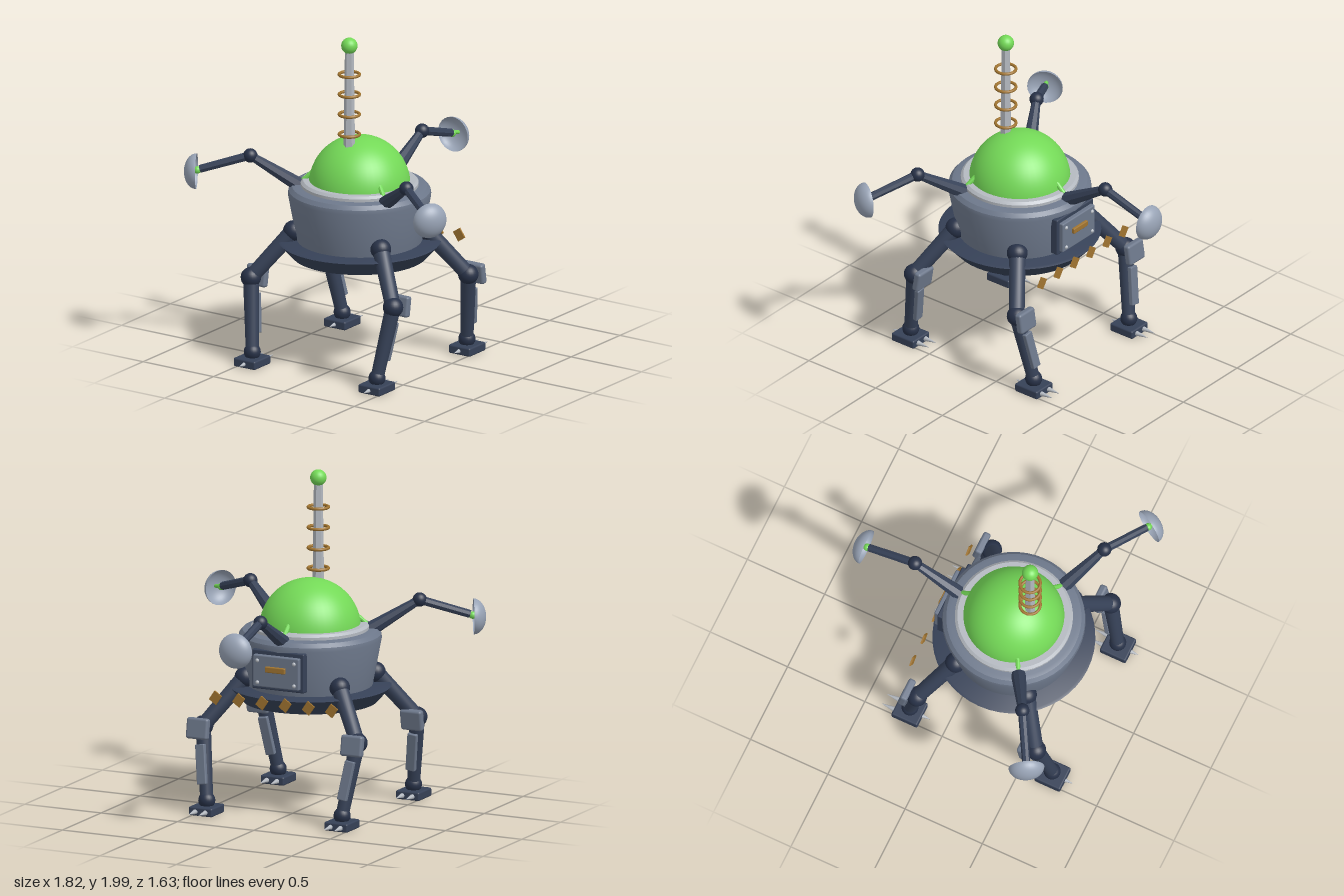
import * as THREE from 'three';
import { toCreasedNormals } from 'three/addons/utils/BufferGeometryUtils.js';
import { RoundedBoxGeometry } from 'three/addons/geometries/RoundedBoxGeometry.js';

const mat = (color, side = THREE.FrontSide) => new THREE.MeshStandardMaterial({ color, side });
const navy = mat(0x364157), joint = mat(0x273147), steel = mat(0x6d788b), light = mat(0xb4b9c0);
const green = mat(0x74d957), gold = mat(0xa07430), dishGrey = mat(0x98a3b5, THREE.DoubleSide);
const V = (x, y, z) => new THREE.Vector3(x, y, z);
const CZ = 0.225; // z of the body axis

function add(parent, name, geometry, material, x = 0, y = 0, z = 0) {
  const mesh = new THREE.Mesh(geometry, material);
  mesh.name = name;
  mesh.position.set(x, y, z);
  parent.add(mesh);
  return mesh;
}

// Tapered rod from a (radius ra) to b (radius rb)
function rod(parent, name, a, b, ra, rb, material, sides = 16) {
  const d = b.clone().sub(a);
  const geo = toCreasedNormals(new THREE.CylinderGeometry(rb, ra, d.length(), sides), 0.6);
  const mesh = add(parent, name, geo, material, ...a.clone().lerp(b, 0.5).toArray());
  mesh.quaternion.setFromUnitVectors(V(0, 1, 0), d.normalize());
  return mesh;
}

const ball = (parent, name, p, r, material) =>
  add(parent, name, new THREE.SphereGeometry(r, 24, 16), material, p.x, p.y, p.z);

function lathe(parent, name, profile, material) {
  const pts = profile.map(([r, y]) => new THREE.Vector2(r, y));
  return add(parent, name, toCreasedNormals(new THREE.LatheGeometry(pts, 48), 0.5), material, 0, 0, CZ);
}

// sx: side of the model, sz: front (1) or back (-1)
function makeLeg(sx, sz) {
  const leg = new THREE.Group();
  leg.name = 'leg';
  const hip = V(sx * 0.31, 0.795, CZ + sz * 0.23);
  const knee = V(sx * 0.505, 0.515, CZ + sz * 0.385);
  const ankle = V(sx * 0.443, 0.09, CZ + sz * 0.46);
  ball(leg, 'hipJoint', hip, 0.061, joint);
  rod(leg, 'thigh', hip, knee, 0.05, 0.045, navy);
  ball(leg, 'kneeJoint', knee, 0.06, joint);
  rod(leg, 'shin', knee, ankle, 0.046, 0.038, navy);
  ball(leg, 'ankleJoint', ankle, 0.05, joint);

  // Armour on the rear side of the leg, aligned with the shin
  const tilt = new THREE.Quaternion().setFromUnitVectors(V(0, 1, 0), knee.clone().sub(ankle).normalize());
  const pad = add(leg, 'kneePad', new RoundedBoxGeometry(0.14, 0.125, 0.046, 2, 0.015), steel,
    knee.x, knee.y - 0.005, knee.z - 0.066);
  pad.rotation.x = -sz * 0.16;
  const mid = knee.clone().lerp(ankle, 0.5);
  const guard = add(leg, 'shinGuard', new RoundedBoxGeometry(0.06, 0.235, 0.03, 2, 0.006), steel,
    mid.x, mid.y, mid.z - 0.046);
  guard.quaternion.copy(tilt);

  // Foot with two long rear claws and one short front claw
  const fz = CZ + sz * 0.462;
  add(leg, 'foot', new RoundedBoxGeometry(0.153, 0.052, 0.167, 2, 0.01), navy, ankle.x, 0.035, fz);
  for (const dx of [-0.033, 0.033]) {
    const claw = add(leg, 'rearClaw', new THREE.ConeGeometry(0.016, 0.09, 10), light, ankle.x + dx, 0.034, fz - 0.123);
    claw.rotation.x = -Math.PI / 2;
  }
  const toe = add(leg, 'frontClaw', new THREE.ConeGeometry(0.014, 0.06, 10), light, ankle.x, 0.034, fz + 0.105);
  toe.rotation.x = Math.PI / 2;
  return leg;
}

// Dish arm reaching along local +z
function makeArm(angle) {
  const arm = new THREE.Group();
  arm.name = 'dishArm';
  arm.position.z = CZ;
  arm.rotation.y = angle;
  const base = V(0, 1.06, 0.35), elbow = V(0, 1.235, 0.64), tip = V(0, 1.145, 0.935);
  rod(arm, 'upperArm', base, elbow, 0.045, 0.025, navy, 8);
  ball(arm, 'elbow', elbow, 0.042, joint);
  rod(arm, 'forearm', elbow, tip, 0.026, 0.024, navy, 8);
  rod(arm, 'powerLink', V(0, 1.15, 0.27), V(0, 1.08, 0.345), 0.014, 0.014, green, 10);
  rod(arm, 'dishFeed', tip, V(0, 1.13, 1.01), 0.012, 0.012, green, 10);
  ball(arm, 'feedTip', V(0, 1.138, 0.95), 0.022, green);
  const dish = add(arm, 'dish', new THREE.SphereGeometry(0.105, 32, 12, 0, Math.PI * 2, 0, Math.PI / 2),
    dishGrey, 0, 1.13, 0.955);
  dish.scale.y = 0.7;
  dish.rotation.x = Math.PI / 2;
  return arm;
}

export function createModel() {
  const model = new THREE.Group();
  model.name = 'walker';

  // Hull
  lathe(model, 'flange', [[0, 0.645], [0.395, 0.645], [0.476, 0.735], [0.46, 0.742], [0, 0.742]], navy);
  lathe(model, 'hull', [[0.365, 0.735], [0.419, 1.02], [0.415, 1.045], [0.395, 1.068], [0.37, 1.075], [0, 1.075]], steel);
  lathe(model, 'collar', [[0.345, 1.07], [0.345, 1.092], [0.33, 1.106], [0.28, 1.106]], light);
  add(model, 'dome', new THREE.SphereGeometry(0.297, 48, 20, 0, Math.PI * 2, 0, Math.PI / 2), green, 0, 1.073, CZ);

  // Antenna
  const az = 0.33;
  rod(model, 'mast', V(0, 1.3, az), V(0, 1.93, az), 0.034, 0.026, light, 6);
  for (let i = 0; i < 4; i++) {
    const ring = add(model, 'antennaRing', new THREE.TorusGeometry(0.06, 0.009, 10, 32), gold, 0, 1.41 + i * 0.122, az);
    ring.rotation.x = Math.PI / 2;
  }
  ball(model, 'antennaTip', V(0, 1.952, az), 0.048, green);

  // Four legs and three dish arms
  for (const sx of [-1, 1]) for (const sz of [-1, 1]) model.add(makeLeg(sx, sz));
  for (const a of [Math.PI / 3, -Math.PI / 3, Math.PI]) model.add(makeArm(a));

  // Rear access panel
  add(model, 'panelFrame', new RoundedBoxGeometry(0.34, 0.235, 0.05, 2, 0.008), navy, 0, 0.898, -0.167);
  add(model, 'panelCover', new RoundedBoxGeometry(0.3, 0.19, 0.035, 2, 0.008), steel, 0, 0.895, -0.202);
  add(model, 'panelHandle', new RoundedBoxGeometry(0.13, 0.035, 0.025, 2, 0.006), gold, 0, 0.91, -0.223);
  for (const x of [-0.12, 0.12]) for (const y of [0.826, 0.957])
    ball(model, 'rivet', V(x, y, -0.218), 0.012, light);

  // Row of slanted warning plates behind the flange
  for (let i = 0; i < 6; i++) {
    const plate = add(model, 'warningPlate', new THREE.BoxGeometry(0.055, 0.065, 0.01), gold,
      (i - 2.5) * 0.152, 0.712, -0.247);
    plate.rotation.z = 0.6;
  }
  return model;
}
